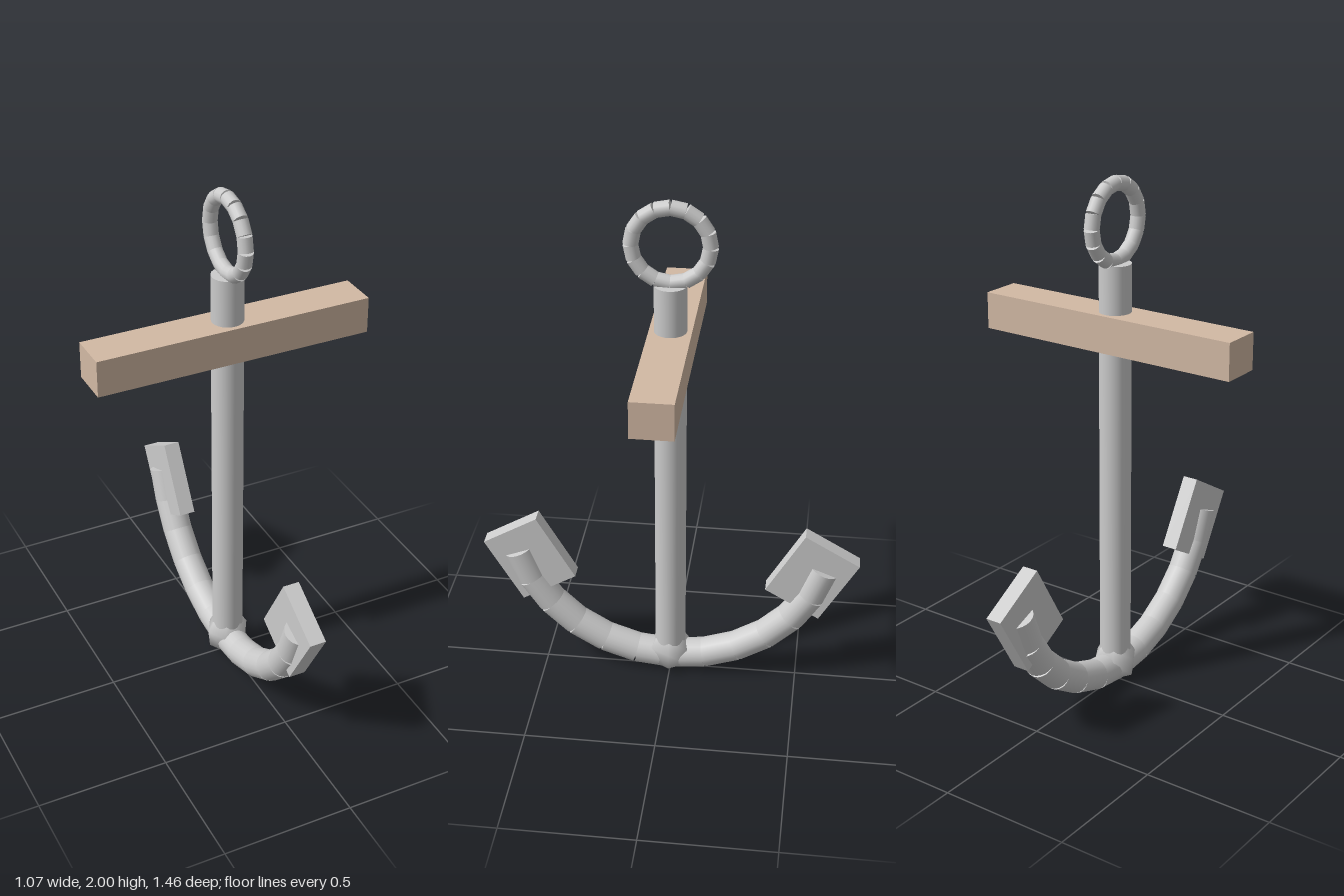
import * as THREE from 'three';

const iron = new THREE.MeshStandardMaterial({ color: 0xcccccc });
const wood = new THREE.MeshStandardMaterial({ color: 0xd2b9a4 });

function add(parent, name, geometry, material = iron) {
  const mesh = new THREE.Mesh(geometry, material);
  mesh.name = name;
  parent.add(mesh);
  return mesh;
}

// Chain of straight rods along an arc in the YZ plane; angle 0 points down, joints open on the outside
function rodArc(name, centerY, arcRadius, rodRadius, start, end, count, sides) {
  const group = new THREE.Group();
  group.name = name;
  const step = (end - start) / count;
  const chord = 2 * arcRadius * Math.sin(step / 2);
  const geometry = new THREE.CylinderGeometry(rodRadius, rodRadius, chord, sides);
  const mid = arcRadius * Math.cos(step / 2);
  for (let i = 0; i < count; i++) {
    const a = start + (i + 0.5) * step;
    const rod = add(group, name + 'Segment', geometry);
    rod.position.set(0, centerY - mid * Math.cos(a), mid * Math.sin(a));
    rod.rotation.x = Math.PI / 2 - a;
  }
  return group;
}

export function createModel() {
  const anchor = new THREE.Group();
  anchor.name = 'anchor';

  // Upright shank
  const shank = add(anchor, 'shank', new THREE.CylinderGeometry(0.06, 0.06, 1.645, 24));
  shank.position.y = 0.8625;

  // Wooden crossbar
  const stock = add(anchor, 'stock', new THREE.BoxGeometry(1.07, 0.14, 0.156), wood);
  stock.position.y = 1.435;

  // Six-sided collar where the shank meets the arms
  const profile = [[0, 0.04], [0.078, 0.04], [0.085, 0.108], [0.06, 0.15]]
    .map(([r, y]) => new THREE.Vector2(r, y));
  const collar = add(anchor, 'crownCollar', new THREE.LatheGeometry(profile, 6));
  collar.rotation.y = Math.PI / 6;

  // Curved arms and top ring
  const reach = THREE.MathUtils.degToRad(75);
  anchor.add(rodArc('arms', 0.68, 0.617, 0.059, -reach, reach, 12, 20));
  anchor.add(rodArc('ring', 1.833, 0.141, 0.028, 0, Math.PI * 2, 16, 14));

  // Flukes, leaning outward at the arm tips
  for (const side of [1, -1]) {
    const fluke = add(anchor, side > 0 ? 'frontFluke' : 'backFluke',
      new THREE.BoxGeometry(0.063, 0.294, 0.242));
    fluke.position.set(0, 0.492, side * 0.55);
    fluke.rotation.x = side * Math.PI / 6;
  }

  return anchor;
}
